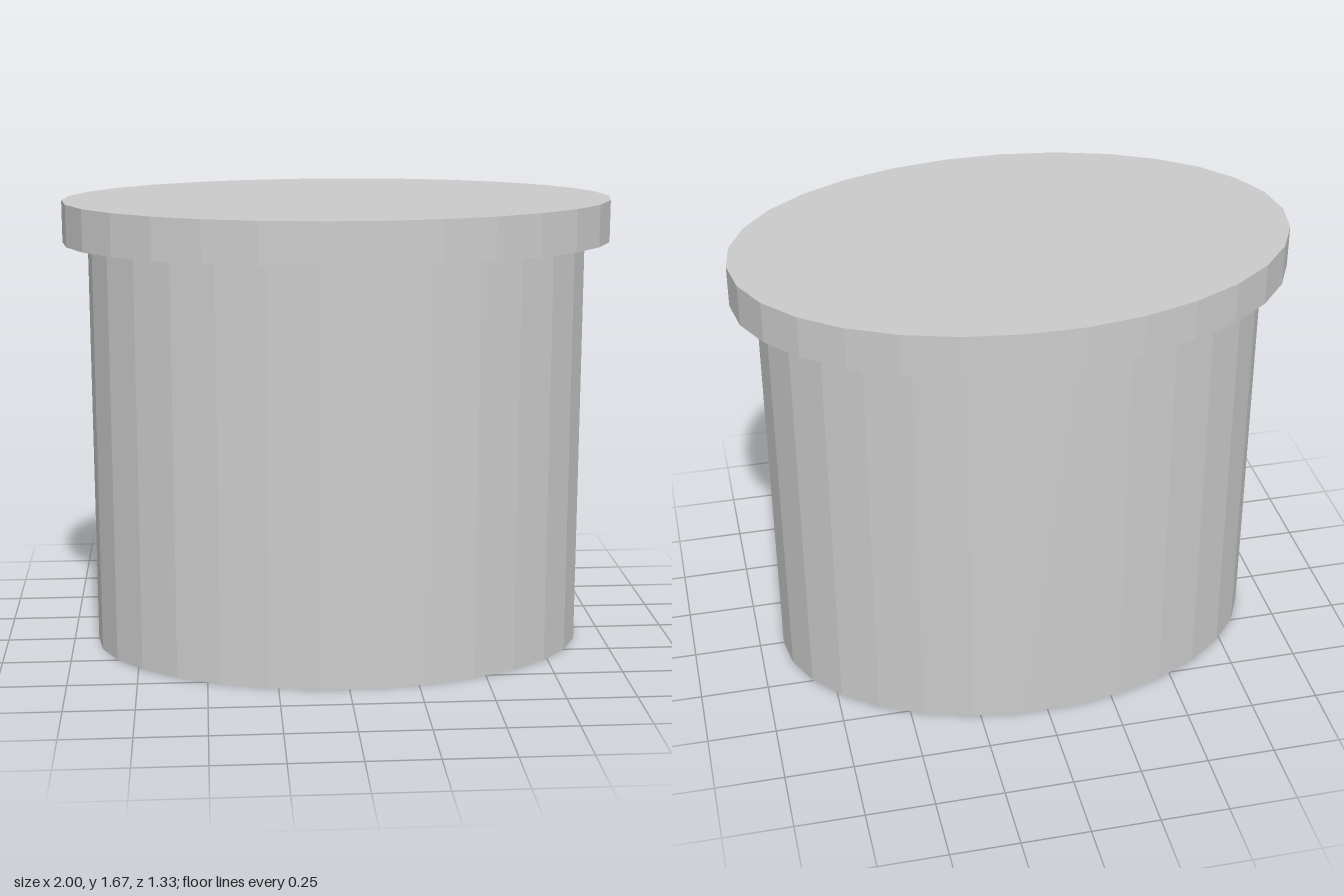
import * as THREE from 'three';

const SIDES = 30;
const DEPTH_RATIO = 2 / 3; // oval depth relative to its width

export function createModel() {
  const group = new THREE.Group();
  group.name = 'ovalContainer';
  const material = new THREE.MeshStandardMaterial({ color: 0xcccccc, flatShading: true });

  // Faceted oval drum standing on the given base height, corners on the x axis
  function addOval(name, radius, base, height) {
    const geometry = new THREE.CylinderGeometry(radius, radius, height, SIDES, 1, false, Math.PI / 2);
    geometry.scale(1, 1, DEPTH_RATIO);
    geometry.translate(0, base + height / 2, 0);
    const mesh = new THREE.Mesh(geometry, material);
    mesh.name = name;
    group.add(mesh);
  }

  addOval('body', 0.909, 0, 1.515);
  addOval('lid', 1, 1.515, 0.152);

  return group;
}
